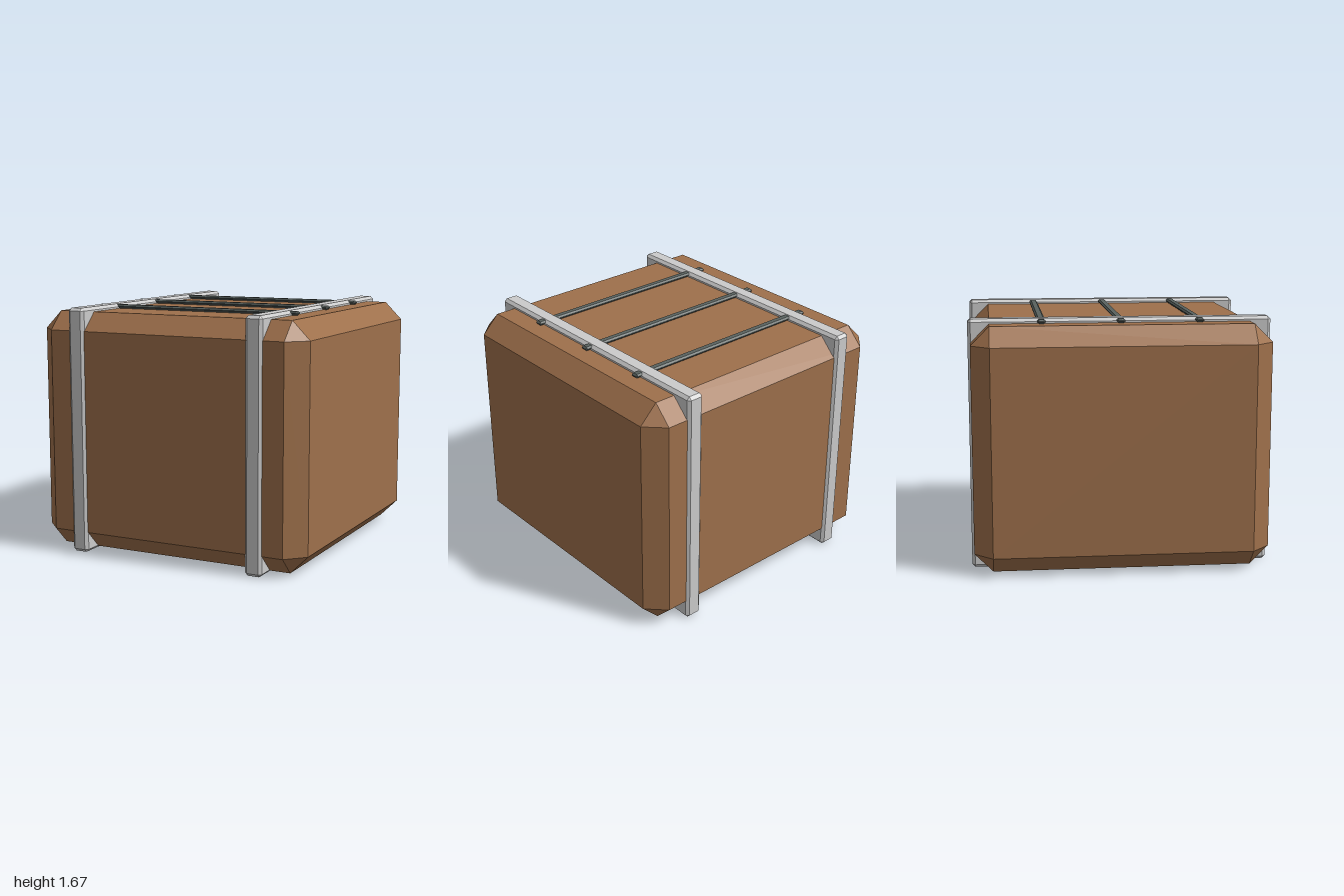
import * as THREE from 'three';
import { ConvexGeometry } from 'three/addons/geometries/ConvexGeometry.js';

// Box with all edges cut at 45 degrees and triangular corners
function chamferBox(w, h, d, c) {
  const points = [];
  const [x, y, z] = [w / 2, h / 2, d / 2];
  for (const sx of [-1, 1]) for (const sy of [-1, 1]) for (const sz of [-1, 1]) {
    points.push(
      new THREE.Vector3(sx * x, sy * (y - c), sz * (z - c)),
      new THREE.Vector3(sx * (x - c), sy * y, sz * (z - c)),
      new THREE.Vector3(sx * (x - c), sy * (y - c), sz * z)
    );
  }
  return new ConvexGeometry(points);
}

export function createModel() {
  const group = new THREE.Group();
  const material = (color) => new THREE.MeshStandardMaterial({ color, flatShading: true });
  const wood = material(0x9e704b);
  const grey = material(0xcccccc);
  const dark = material(0x59625f);

  const add = (name, geometry, mat, x, y, z) => {
    const mesh = new THREE.Mesh(geometry, mat);
    mesh.name = name;
    mesh.position.set(x, y, z);
    group.add(mesh);
  };

  // Crate body
  add('body', chamferBox(1.966, 1.625, 1.966, 0.123), wood, 0, 0.8285, 0);

  // Two straps wrapping front, top, back and bottom
  const strap = chamferBox(0.12, 1.673, 2, 0.02);
  add('leftStrap', strap, grey, 0.656, 0.8365, 0);
  add('rightStrap', strap, grey, -0.656, 0.8365, 0);

  // Three flat rods across the top, passing through the straps
  const rod = chamferBox(1.51, 0.027, 0.056, 0.011);
  [-0.52, 0, 0.52].forEach((z, i) => add('topRod' + (i + 1), rod, dark, 0, 1.655, z));

  return group;
}
